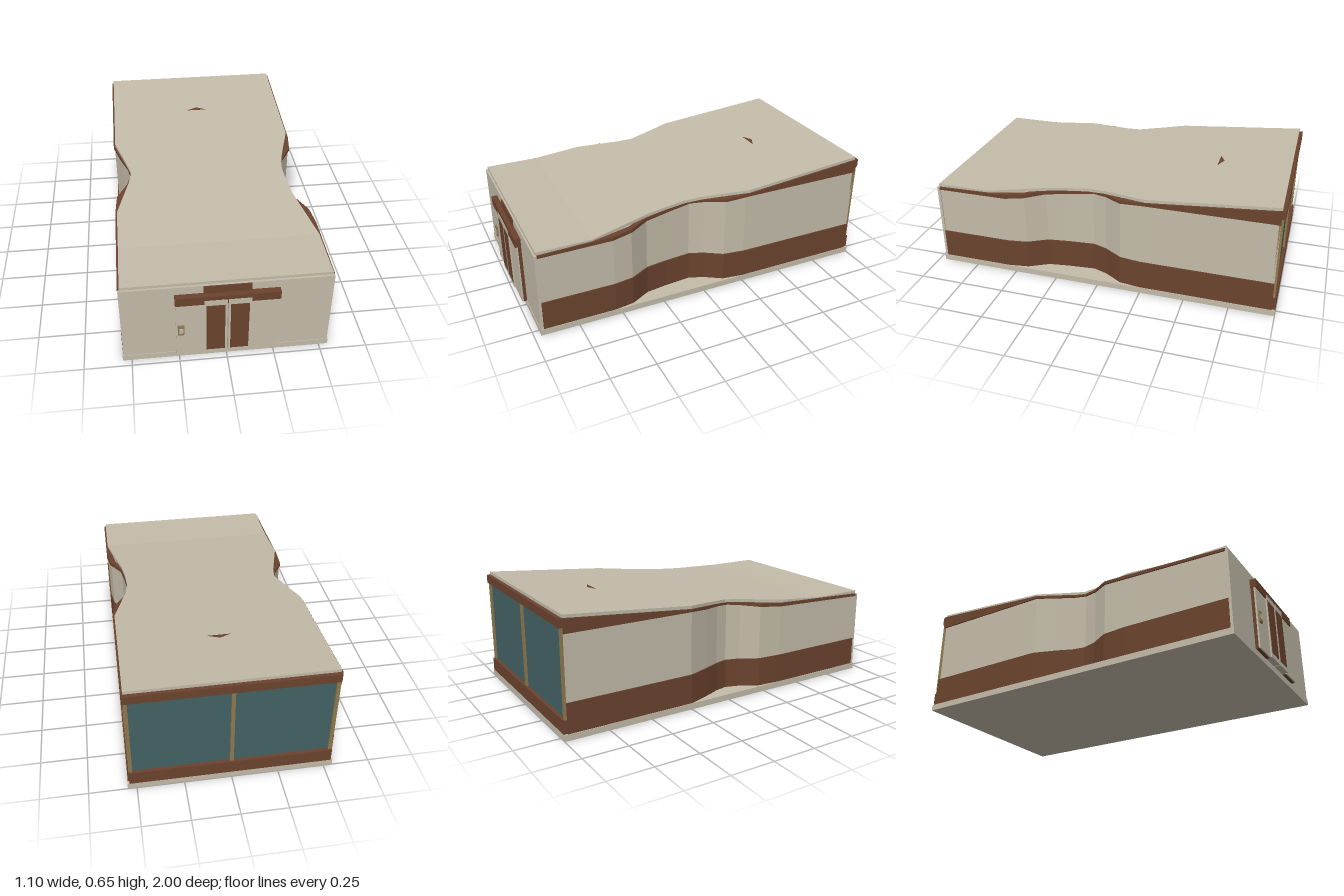
import * as THREE from 'three';

const mat = (name, color) => {
  const m = new THREE.MeshStandardMaterial({ color, side: THREE.DoubleSide });
  m.name = name;
  return m;
};

// Linear lookup in [z, value] pairs sorted by falling z
function lookup(pts, z) {
  for (let i = 0; i < pts.length - 1; i++) {
    const [za, a] = pts[i], [zb, b] = pts[i + 1];
    if (z <= za && z >= zb) return a + (b - a) * (za - z) / (za - zb);
  }
  return z > pts[0][0] ? pts[0][1] : pts[pts.length - 1][1];
}

// Solid joining rings of four corners (outer bottom, outer top, inner top, inner bottom)
function loft(rings) {
  const tris = [];
  const quad = (a, b, c, d) => tris.push(...a, ...b, ...c, ...a, ...c, ...d);
  for (let i = 0; i < rings.length - 1; i++) {
    for (let k = 0; k < 4; k++) {
      const n = (k + 1) % 4;
      quad(rings[i][k], rings[i + 1][k], rings[i + 1][n], rings[i][n]);
    }
  }
  const end = rings[rings.length - 1];
  quad(rings[0][0], rings[0][1], rings[0][2], rings[0][3]);
  quad(end[3], end[2], end[1], end[0]);
  const g = new THREE.BufferGeometry();
  g.setAttribute('position', new THREE.Float32BufferAttribute(tris, 3));
  g.computeVertexNormals();
  return g;
}

export function createModel() {
  const group = new THREE.Group();
  const beige = mat('beige plaster', 0xc4bcaa);
  const brown = mat('rust brown', 0x6b432e);
  const teal = mat('teal glass', 0x446364);
  const tan = mat('tan metal', 0x8f7a50);

  const add = (name, geo, m) => {
    const mesh = new THREE.Mesh(geo, m);
    mesh.name = name;
    group.add(mesh);
    return mesh;
  };
  // Box given by its limits
  const box = (name, m, x0, x1, y0, y1, z0, z1) => {
    const mesh = add(name, new THREE.BoxGeometry(x1 - x0, y1 - y0, z1 - z0), m);
    mesh.position.set((x0 + x1) / 2, (y0 + y1) / 2, (z0 + z1) / 2);
  };

  // Roof heights: level at the front, rising to the back
  const roofTop = (z) => lookup([[0.95, 0.505], [0.65, 0.505], [-0.98, 0.65]], z);
  const roofUnder = (z) => roofTop(z) - 0.017;
  const trimBottom = (z) => lookup([[0.95, 0.473], [0.54, 0.475], [0.43, 0.487], [0.2, 0.51],
    [0.03, 0.53], [-0.13, 0.54], [-0.25, 0.553], [-0.98, 0.555]], z);

  box('baseSlab', beige, -0.548, 0.548, 0, 0.035, -1, 0.963);

  // Side walls with their waists, each with a lower band and an upper trim
  const walls = [
    [1, [[0.945, 0.538], [0.54, 0.538], [0.43, 0.522], [0.32, 0.462], [0.2, 0.445], [0.05, 0.432],
      [-0.03, 0.46], [-0.13, 0.522], [-0.25, 0.538], [-0.98, 0.538]], 'left'],
    [-1, [[0.945, 0.538], [0.36, 0.538], [0.22, 0.526], [0.12, 0.468], [0.04, 0.444],
      [-0.03, 0.458], [-0.13, 0.498], [-0.25, 0.538], [-0.98, 0.538]], 'right'],
  ];
  for (const [s, plan, side] of walls) {
    const ribbon = (name, m, out, depth, low, high) => add(side + name, loft(plan.map(([z, x]) => {
      const o = s * (x + out), i = s * (x + out - depth);
      return [[o, low(z), z], [o, high(z), z], [i, high(z), z], [i, low(z), z]];
    })), m);
    ribbon('Wall', beige, 0, 0.02, () => 0.035, (z) => roofUnder(z) - 0.004);
    ribbon('LowerBand', brown, 0.007, 0.02, () => 0.035, () => 0.2);
    ribbon('UpperTrim', brown, 0.007, 0.035, trimBottom, roofUnder);
  }

  // Roof sheet
  const roofLeft = [[0.95, 0.535], [0.65, 0.535], [0.31, 0.46], [0.2, 0.447], [0.08, 0.442],
    [-0.02, 0.458], [-0.12, 0.488], [-0.27, 0.535], [-0.98, 0.535]];
  const roofRight = [[0.95, 0.535], [0.37, 0.535], [0.12, 0.462], [0.03, 0.447],
    [-0.13, 0.495], [-0.25, 0.535], [-0.98, 0.535]];
  const stations = [...new Set([...roofLeft, ...roofRight].map((p) => p[0]))].sort((a, b) => b - a);
  add('roof', loft(stations.map((z) => {
    const l = lookup(roofLeft, z), r = -lookup(roofRight, z);
    return [[l, roofUnder(z), z], [l, roofTop(z), z], [r, roofTop(z), z], [r, roofUnder(z), z]];
  })), beige);

  // Small triangular roof marker
  const marker = new THREE.BufferGeometry();
  marker.setAttribute('position', new THREE.Float32BufferAttribute([
    -0.065, roofTop(-0.57) + 0.003, -0.57, 0.065, roofTop(-0.57) + 0.003, -0.57,
    0, roofTop(-0.6) + 0.003, -0.6], 3));
  marker.computeVertexNormals();
  add('roofMarker', marker, brown);

  // Front wall and entrance
  box('frontWall', beige, -0.543, 0.543, 0.035, 0.487, 0.943, 0.96);
  box('entranceUpperPanel', brown, -0.122, 0.122, 0.41, 0.485, 0.955, 0.967);
  box('entranceHeader', brown, -0.267, 0.267, 0.39, 0.44, 0.96, 0.993);
  for (const s of [-1, 1]) {
    const mirrored = (name, m, a, b, ...rest) =>
      box(name, m, Math.min(s * a, s * b), Math.max(s * a, s * b), ...rest);
    mirrored('sidePanelBacking', brown, 0.122, 0.264, 0.035, 0.39, 0.96, 0.98);
    mirrored('sidePanel', beige, 0.12, 0.265, 0.037, 0.39, 0.978, 0.987);
    mirrored('door', beige, 0.002, 0.12, 0.04, 0.415, 0.96, 0.994);
    mirrored('doorInset', brown, 0.014, 0.109, 0.068, 0.38, 0.993, 0.996);
  }
  box('keypad', tan, -0.256, -0.222, 0.19, 0.252, 0.985, 0.997);
  box('keypadScreen', beige, -0.249, -0.228, 0.205, 0.236, 0.996, 1);

  // Glazed back wall
  box('backGlass', teal, -0.53, 0.53, 0.1, 0.6, -0.98, -0.97);
  box('backSill', brown, -0.538, 0.538, 0.035, 0.11, -1, -0.965);
  box('backHeader', brown, -0.538, 0.538, 0.585, 0.632, -1, -0.965);
  for (const x of [-0.528, 0, 0.528]) {
    box('backMullion', tan, x - 0.01, x + 0.01, 0.11, 0.585, -0.992, -0.97);
  }
  return group;
}
